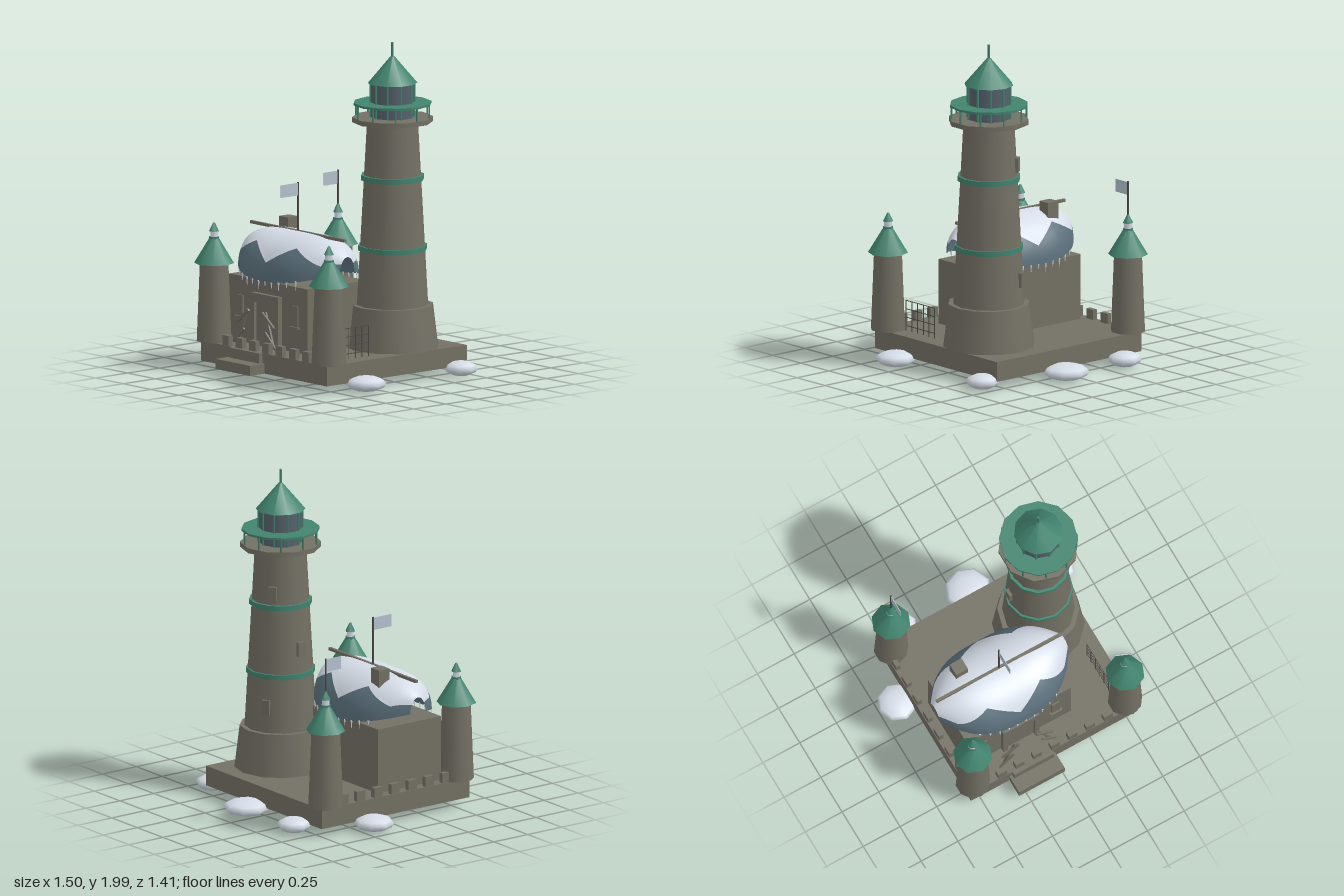
import * as THREE from 'three';

const mat = (name, color, side = THREE.FrontSide) => {
  const m = new THREE.MeshStandardMaterial({ color, side });
  m.name = name;
  return m;
};

export function createModel() {
  const model = new THREE.Group();
  const stone = mat('stone', 0x737064);
  const green = mat('copperGreen', 0x42846f);
  const snow = mat('snow', 0xd8dfea, THREE.DoubleSide);
  const slate = mat('hullSlate', 0x5b707c, THREE.DoubleSide);
  const glass = mat('lanternGlass', 0x56626c);
  const cloth = mat('flagCloth', 0xb4c1ce, THREE.DoubleSide);
  const iron = mat('darkIron', 0x4b4a43);

  const add = (name, geo, material, x = 0, y = 0, z = 0, parent = model) => {
    const m = new THREE.Mesh(geo, material);
    m.name = name;
    m.position.set(x, y, z);
    parent.add(m);
    return m;
  };
  // Box given by its extents
  const box = (name, material, x0, x1, y0, y1, z0, z1, parent = model) =>
    add(name, new THREE.BoxGeometry(x1 - x0, y1 - y0, z1 - z0), material,
      (x0 + x1) / 2, (y0 + y1) / 2, (z0 + z1) / 2, parent);
  // Upright frustum given by bottom and top heights
  const drum = (name, material, rBottom, rTop, y0, y1, sides, x = 0, z = 0, parent = model) =>
    add(name, new THREE.CylinderGeometry(rTop, rBottom, y1 - y0, sides), material, x, (y0 + y1) / 2, z, parent);
  // Beam between two points
  const beam = (name, material, a, b, t, parent = model) => {
    const p = new THREE.Vector3(...a), q = new THREE.Vector3(...b);
    const m = add(name, new THREE.BoxGeometry(t, t, p.distanceTo(q)), material, 0, 0, 0, parent);
    m.position.copy(p).add(q).multiplyScalar(0.5);
    m.lookAt(q);
    return m;
  };
  const group = (name, x = 0, y = 0, z = 0) => {
    const g = new THREE.Group();
    g.name = name;
    g.position.set(x, y, z);
    model.add(g);
    return g;
  };

  // Platform and entrance steps
  box('platform', stone, -0.567, 0.565, 0.06, 0.18, -0.505, 0.585);
  box('lowerStep', stone, -0.305, 0.005, 0.06, 0.12, 0.5, 0.7);
  box('upperStep', stone, -0.285, -0.015, 0.12, 0.18, 0.5, 0.61);

  // Battlements along the front and one side
  for (let i = 0; i < 7; i++) {
    const x = -0.35 + i * 0.12;
    box('frontMerlon', stone, x - 0.029, x + 0.029, 0.18, 0.24, 0.55, 0.583);
    const z = -0.335 + i * 0.126;
    box('sideMerlon', stone, -0.563, -0.533, 0.18, 0.24, z - 0.031, z + 0.031);
  }

  // Snow drifts around the foot: x, z, radius
  [[-0.635, -0.17, 0.12], [-0.38, -0.57, 0.1], [0.08, -0.57, 0.14],
    [0.605, -0.425, 0.1], [0.625, 0.33, 0.12]].forEach(([x, z, r]) => {
    const m = add('snowDrift', new THREE.SphereGeometry(r, 8, 6), snow, x, 0.056, z);
    m.scale.y = 0.04 / r + 0.05;
  });

  // Corner turrets
  [[-0.52, -0.44], [-0.52, 0.525], [0.515, 0.525]].forEach(([x, z]) => {
    const t = group('turret', x, 0, z);
    drum('turretWall', stone, 0.103, 0.084, 0.18, 0.66, 10, 0, 0, t);
    drum('turretRoof', green, 0.118, 0.028, 0.645, 0.795, 8, 0, 0, t);
    drum('turretCupola', snow, 0.023, 0.023, 0.79, 0.84, 6, 0, 0, t);
    drum('cupolaBase', green, 0.031, 0.031, 0.79, 0.803, 6, 0, 0, t);
    drum('cupolaRoof', green, 0.031, 0.006, 0.835, 0.885, 6, 0, 0, t);
  });

  // Lighthouse shaft
  const tower = group('lighthouse', 0.312, 0, -0.145);
  drum('plinth', stone, 0.274, 0.243, 0.18, 0.435, 12, 0, 0, tower);
  drum('shaft', stone, 0.214, 0.153, 0.43, 1.53, 12, 0, 0, tower);
  drum('lowerBand', green, 0.206, 0.206, 0.76, 0.79, 12, 0, 0, tower);
  drum('upperBand', green, 0.188, 0.188, 1.18, 1.21, 12, 0, 0, tower);

  // Gallery with a broad rail
  drum('galleryDeck', stone, 0.24, 0.24, 1.526, 1.555, 10, 0, 0, tower);
  drum('galleryRail', green, 0.233, 0.233, 1.63, 1.643, 12, 0, 0, tower);
  for (let i = 0; i < 10; i++) {
    const a = i * Math.PI / 5;
    drum('railPost', green, 0.006, 0.006, 1.55, 1.635, 5, 0.222 * Math.cos(a), 0.222 * Math.sin(a), tower);
  }

  // Lantern room
  drum('lanternGlass', glass, 0.128, 0.128, 1.555, 1.765, 10, 0, 0, tower);
  for (let i = 0; i < 10; i++) {
    const a = i * Math.PI / 5;
    drum('lanternMullion', green, 0.007, 0.007, 1.555, 1.765, 5, 0.129 * Math.sin(a), 0.129 * Math.cos(a), tower);
  }
  drum('lanternRoof', green, 0.147, 0.012, 1.758, 1.917, 10, 0, 0, tower);
  drum('lanternSpire', green, 0.008, 0.008, 1.9, 2, 6, 0, 0, tower);

  // Tower windows: height, direction, distance
  [[0.59, -2.65, 0.205], [0.94, -Math.PI / 2, 0.2], [1.28, -2.5, 0.172]].forEach(([y, a, r]) => {
    const w = add('towerWindow', new THREE.BoxGeometry(0.05, 0.088, 0.02), stone,
      r * Math.sin(a), y, r * Math.cos(a), tower);
    w.rotation.y = a;
  });

  // House with door and slit windows
  box('houseWalls', stone, -0.5, 0.205, 0.18, 0.572, -0.04, 0.425);
  box('doorJamb', stone, -0.27, -0.24, 0.18, 0.495, 0.42, 0.455);
  box('doorJamb', stone, -0.055, -0.025, 0.18, 0.495, 0.42, 0.455);
  box('doorLintel', stone, -0.24, -0.055, 0.44, 0.495, 0.42, 0.455);
  box('door', stone, -0.24, -0.055, 0.18, 0.44, 0.42, 0.435);
  [-0.395, 0.098].forEach((x) => {
    box('slitWindow', stone, x - 0.027, x + 0.027, 0.335, 0.46, 0.42, 0.434);
    box('windowSill', stone, x - 0.04, x + 0.04, 0.322, 0.335, 0.42, 0.445);
  });

  // Crossed timbers beside the door
  [-1, 1].forEach((s) => {
    const p = (x, y, z) => [-0.148 + s * x, y, z];
    beam('leaningTimber', stone, p(0.06, 0.405, 0.525), p(0.17, 0.32, 0.525), 0.014);
    beam('leaningTimber', stone, p(0.08, 0.41, 0.515), p(0.16, 0.2, 0.52), 0.012);
    beam('leaningTimber', stone, p(0.095, 0.29, 0.53), p(0.19, 0.2, 0.53), 0.012);
  });

  // Upturned hull roof: u runs along it, a sweeps over the arch
  const hullPoint = (u, a) => {
    const k = Math.abs(u);
    const w = 0.28 * (1 - 0.8 * k ** 3);
    const low = 0.575 + 0.08 * u * u, high = 0.85 - 0.1 * k ** 4;
    return [-0.147 + 0.44 * u, low + (high - low) * Math.sin(a), 0.19 + w * Math.cos(a)];
  };
  const snowLine = (u) => {
    const phase = Math.abs(0.44 * u) / 0.18 % 2;
    return 0.42 + 0.46 * (phase < 1 ? phase : 2 - phase);
  };
  const hullStrip = (name, material, from, to, rows) => {
    const cols = 44, pos = [], idx = [];
    for (let i = 0; i <= cols; i++) {
      const u = -1 + 2 * i / cols;
      for (let j = 0; j <= rows; j++) pos.push(...hullPoint(u, from(u) + (to(u) - from(u)) * j / rows));
    }
    for (let i = 0; i < cols; i++) {
      for (let j = 0; j < rows; j++) {
        const a = i * (rows + 1) + j, b = a + rows + 1;
        idx.push(a, b, a + 1, b, b + 1, a + 1);
      }
    }
    const g = new THREE.BufferGeometry();
    g.setAttribute('position', new THREE.Float32BufferAttribute(pos, 3));
    g.setIndex(idx);
    g.computeVertexNormals();
    add(name, g, material);
  };
  hullStrip('hullFrontSide', slate, () => 0, snowLine, 5);
  hullStrip('hullSnow', snow, snowLine, (u) => Math.PI - snowLine(u), 14);
  hullStrip('hullBackSide', slate, (u) => Math.PI - snowLine(u), () => Math.PI, 5);
  box('keel', stone, -0.575, 0.275, 0.836, 0.853, 0.181, 0.199);
  box('chimney', stone, -0.4, -0.32, 0.76, 0.895, 0.045, 0.122);

  // Icicles under the eaves
  for (let i = 0; i < 10; i++) {
    const u = -0.6 + i * 0.13;
    const len = 0.035 + 0.03 * ((i * 7) % 5) / 4;
    [0, Math.PI].forEach((a) => {
      const [x, y, z] = hullPoint(u, a);
      add('icicle', new THREE.ConeGeometry(0.006, len, 5), snow, x, y - len / 2 + 0.005, z).rotation.x = Math.PI;
    });
  }

  // Flags: x, z, pole foot, pole top, flag length, flag height
  [[-0.15, 0.19, 0.84, 1.14, 0.135, 0.075], [-0.52, -0.44, 0.87, 1.087, 0.11, 0.077]].forEach(([x, z, y0, y1, len, h]) => {
    drum('flagPole', iron, 0.006, 0.006, y0, y1, 6, x, z);
    box('flag', cloth, x - 0.002, x + 0.002, y1 - 0.005 - h, y1 - 0.005, z, z + len);
  });

  // Lattice fence
  for (let i = 0; i < 6; i++) {
    const z = 0.17 + i * 0.051;
    box('fenceUpright', iron, 0.458, 0.462, 0.18, 0.365, z - 0.002, z + 0.002);
  }
  for (let i = 0; i < 4; i++) {
    const y = 0.21 + i * 0.051;
    box('fenceRail', iron, 0.458, 0.462, y - 0.002, y + 0.002, 0.168, 0.427);
  }

  return model;
}
